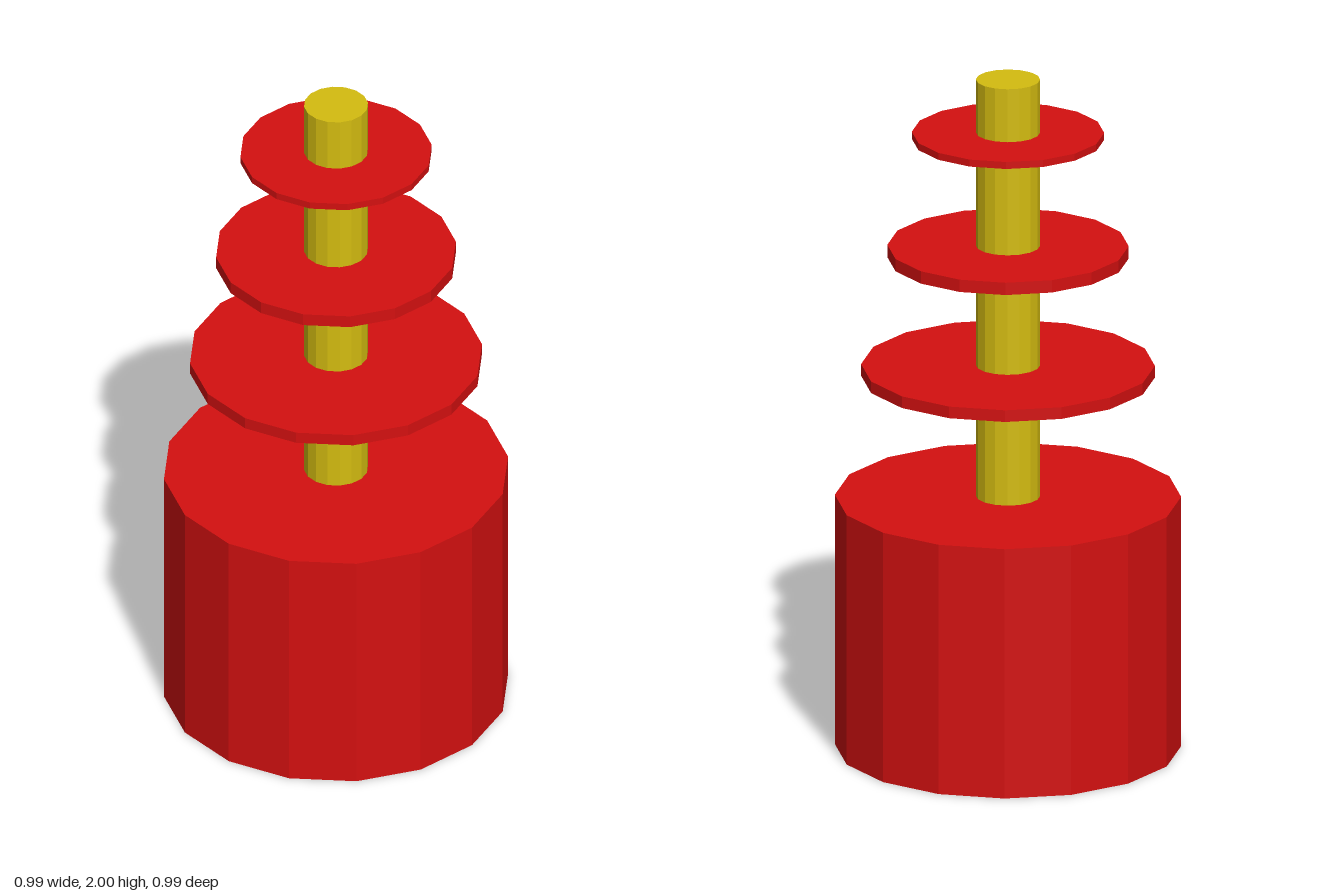
import * as THREE from 'three';

const SIDES = 16;

export function createModel() {
  const group = new THREE.Group();
  const red = new THREE.MeshStandardMaterial({ color: 0xd41010, flatShading: true });
  const yellow = new THREE.MeshStandardMaterial({ color: 0xd4bc10, flatShading: true });

  // Upright faceted cylinder between two heights
  const addCylinder = (name, radius, bottom, top, material) => {
    const geometry = new THREE.CylinderGeometry(radius, radius, top - bottom, SIDES);
    const mesh = new THREE.Mesh(geometry, material);
    mesh.name = name;
    mesh.position.y = (bottom + top) / 2;
    group.add(mesh);
  };

  // Heavy drum at the bottom
  addCylinder('base', 0.495, 0, 0.749, red);

  // Central pole
  addCylinder('pole', 0.092, 0.7, 2, yellow);

  // Thin discs, shrinking upwards
  addCylinder('lowerDisc', 0.42, 1.107, 1.142, red);
  addCylinder('middleDisc', 0.345, 1.464, 1.501, red);
  addCylinder('upperDisc', 0.275, 1.82, 1.841, red);

  return group;
}
